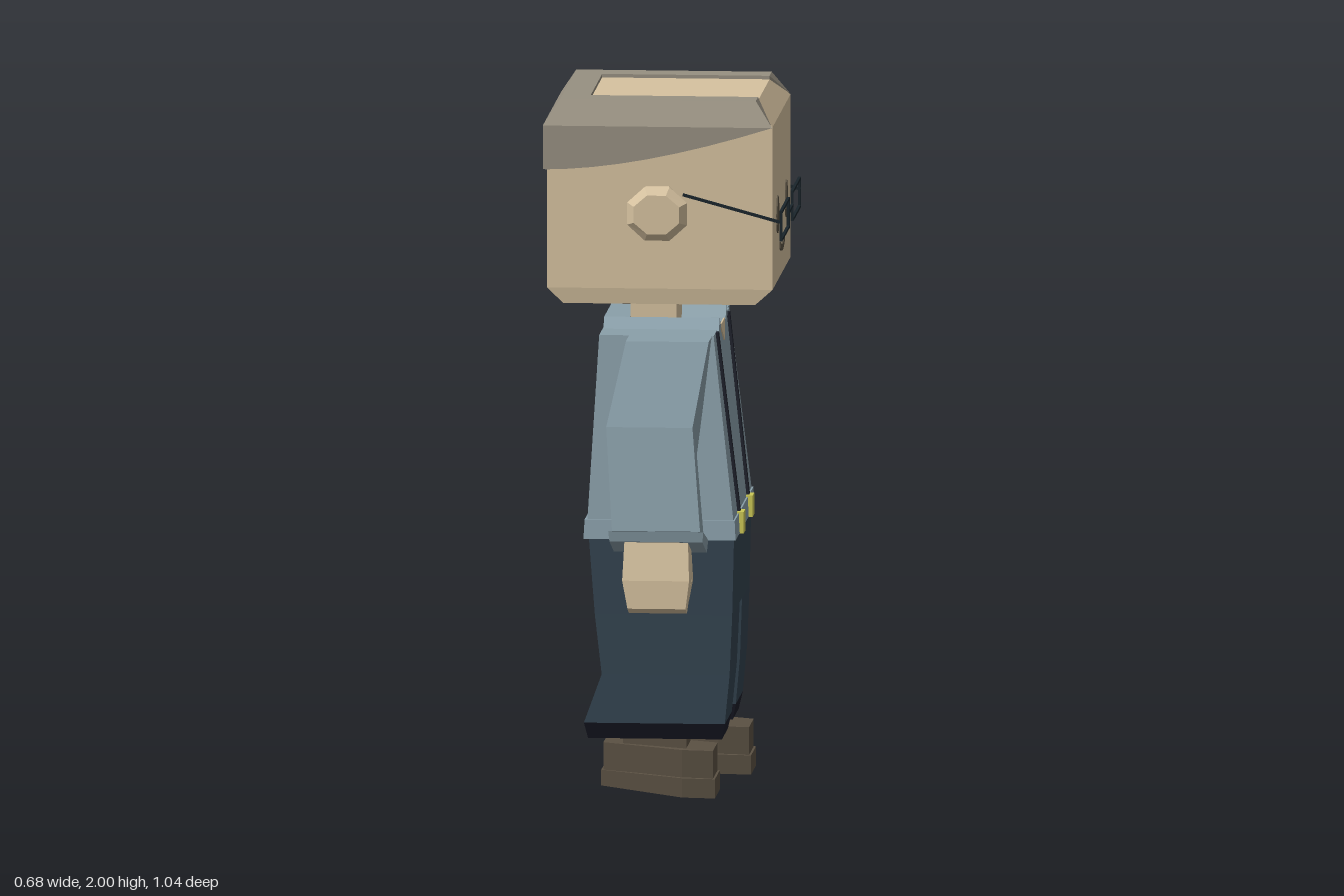
import * as THREE from 'three';
import { ConvexGeometry } from 'three/addons/geometries/ConvexGeometry.js';

const mat = (name, color) => new THREE.MeshStandardMaterial({ name, color, flatShading: true });
const skin = mat('skin', 0xd6c2a0);
const hair = mat('hair', 0x979081);
const shirt = mat('shirt', 0x8a9fa9);
const denim = mat('denim', 0x33434f);
const hemDark = mat('hemDark', 0x1a1c28);
const leather = mat('leather', 0x5c5244);
const strapDark = mat('strapDark', 0x1e212b);
const brass = mat('brass', 0xccc856);
const features = mat('features', 0x5a5244);
const wire = mat('wire', 0x1a252b);

const V = (x, y, z) => new THREE.Vector3(x, y, z);

// Four corners at heights y0 (on z0) and y1 (on z1)
const ring = (x0, x1, z0, y0, z1, y1 = y0) =>
  [V(x0, y0, z0), V(x1, y0, z0), V(x1, y1, z1), V(x0, y1, z1)];

// Flat-shaded skin over a stack of rings, capped at both ends
function loft(rings) {
  const tris = [];
  const n = rings[0].length;
  for (let r = 0; r + 1 < rings.length; r++) {
    for (let i = 0; i < n; i++) {
      const j = (i + 1) % n, a = rings[r], b = rings[r + 1];
      tris.push([a[i], b[i], b[j]], [a[i], b[j], a[j]]);
    }
  }
  const first = rings[0], last = rings[rings.length - 1];
  for (let i = 1; i + 1 < n; i++) {
    tris.push([first[0], first[i], first[i + 1]], [last[0], last[i + 1], last[i]]);
  }
  // Turn the faces outward whichever way the rings run
  const volume = tris.reduce((v, [a, b, c]) => v + a.dot(b.clone().cross(c)), 0);
  if (volume < 0) tris.forEach((t) => t.reverse());
  const geo = new THREE.BufferGeometry().setFromPoints(tris.flat());
  geo.computeVertexNormals();
  return geo;
}

const hull = (points) => new ConvexGeometry(points);
const mirror = (points, s) => points.map((p) => V(p.x, p.y, p.z * s));
const box = (x0, x1, y0, y1, z0, z1) =>
  new THREE.BoxGeometry(x1 - x0, y1 - y0, z1 - z0)
    .translate((x0 + x1) / 2, (y0 + y1) / 2, (z0 + z1) / 2);

function add(parent, name, geo, material) {
  const mesh = new THREE.Mesh(geo, material);
  mesh.name = name;
  parent.add(mesh);
  return mesh;
}

function bar(parent, name, a, b, t, material) {
  const d = b.clone().sub(a);
  const mesh = add(parent, name, new THREE.BoxGeometry(t, d.length() + t, t), material);
  mesh.position.copy(a).add(b).multiplyScalar(0.5);
  mesh.quaternion.setFromUnitVectors(V(0, 1, 0), d.normalize());
}

// Thin painted shape standing on the face, which looks along +x
const facePlate = (shape, x) =>
  new THREE.ExtrudeGeometry(shape, { depth: 0.008, bevelEnabled: false, curveSegments: 6 })
    .rotateY(Math.PI / 2).translate(x, 0, 0);

function buildHead(g) {
  add(g, 'head', loft([
    ring(-0.285, 0.26, -0.31, 1.42, 0.31),
    ring(-0.33, 0.31, -0.317, 1.465, 0.317),
    ring(-0.33, 0.31, -0.317, 1.93, 0.317),
    ring(-0.28, 0.26, -0.275, 1.99, 0.275),
  ]), skin);
  add(g, 'neck', box(-0.11, 0.02, 1.28, 1.43, -0.1, 0.1), skin);

  // Hair: a horseshoe around the back and sides
  const side = new THREE.Shape();
  side.moveTo(-0.34, 1.805);
  side.quadraticCurveTo(-0.08, 1.805, 0.31, 1.93);
  side.lineTo(-0.34, 1.93);
  const sideOptions = { depth: 0.02, bevelEnabled: false, curveSegments: 8 };
  add(g, 'backHair', box(-0.341, -0.32, 1.805, 1.93, -0.332, 0.332), hair);
  add(g, 'backHairTop', hull([-1, 1].flatMap((s) => [
    V(-0.341, 1.93, 0.332 * s), V(-0.295, 2, 0.285 * s),
    V(-0.215, 2, 0.285 * s), V(-0.215, 1.93, 0.285 * s),
  ])), hair);

  for (const s of [1, -1]) {
    add(g, 'sideHair', new THREE.ExtrudeGeometry(side, sideOptions)
      .translate(0, 0, s > 0 ? 0.312 : -0.332), hair);
    add(g, 'sideHairTop', hull(mirror([
      V(-0.341, 1.93, 0.332), V(0.31, 1.93, 0.332), V(-0.295, 2, 0.285), V(0.26, 2, 0.285),
      V(-0.295, 2, 0.205), V(0.26, 2, 0.205), V(-0.295, 1.93, 0.205), V(0.26, 1.93, 0.205),
    ], s)), hair);

    // Ears: eight-sided, flaring outward
    const earRing = (z, rx, ry) => Array.from({ length: 8 }, (_, i) => {
      const a = (i + 0.5) * Math.PI / 4;
      return V(-0.015 + rx * Math.cos(a), 1.684 + ry * Math.sin(a), z * s);
    });
    add(g, 'ear', loft([
      earRing(0.3, 0.075, 0.08), earRing(0.352, 0.092, 0.083), earRing(0.376, 0.07, 0.06),
    ]), skin);

    // Eye
    const eye = new THREE.Shape();
    eye.absellipse(0, 0, 0.031, 0.054, 0, Math.PI * 2);
    add(g, 'eye', facePlate(eye, 0.306).translate(0, 1.658, 0.153 * s), features);

    // Glasses: wire rim and temple arm
    const corners = [[1.61, 0.07], [1.69, 0.07], [1.69, 0.328], [1.61, 0.328]]
      .map(([y, z]) => V(0.335, y, z * s));
    corners.forEach((c, i) => bar(g, 'glassesRim', c, corners[(i + 1) % 4], 0.008, wire));
    bar(g, 'glassesArm', V(0.06, 1.735, 0.328 * s), V(0.335, 1.66, 0.328 * s), 0.008, wire);
  }
  bar(g, 'glassesBridge', V(0.335, 1.652, -0.07), V(0.335, 1.652, 0.07), 0.008, wire);

  const smile = new THREE.Shape();
  smile.moveTo(-0.075, 1.567);
  smile.quadraticCurveTo(0, 1.535, 0.075, 1.567);
  smile.lineTo(0.07, 1.547);
  smile.quadraticCurveTo(0, 1.518, -0.07, 1.547);
  add(g, 'mouth', facePlate(smile, 0.306), features);
}

function buildTorso(g) {
  add(g, 'shirtBody', loft([
    ring(-0.215, 0.2, -0.325, 0.8, 0.325), ring(-0.185, 0.14, -0.28, 1.325, 0.28),
  ]), shirt);
  add(g, 'shirtHem', loft([
    ring(-0.225, 0.207, -0.34, 0.75, 0.34), ring(-0.222, 0.204, -0.335, 0.805, 0.335),
  ]), shirt);

  // Strip on the sloping chest
  const chest = (y, z, lift) => V(0.14 + (1.325 - y) * 0.1143 + lift, y, z);
  add(g, 'chestSkin', hull([0, 0.004].flatMap((l) => [
    chest(1.273, 0, l), chest(1.327, 0.075, l), chest(1.327, -0.075, l),
  ])), skin);
  add(g, 'backCollar', box(-0.183, -0.11, 1.32, 1.355, -0.125, 0.125), shirt);

  for (const s of [1, -1]) {
    add(g, 'collar', hull(mirror([-0.183, 0.145].flatMap((x) => [
      V(x, 1.322, 0.16), V(x, 1.355, 0.125), V(x, 1.322, 0.075),
    ]), s)), shirt);
    add(g, 'suspender', hull(mirror([0, 0.008].flatMap((l) => [
      chest(1.325, 0.185, l), chest(1.325, 0.212, l), chest(0.8, 0.147, l), chest(0.8, 0.174, l),
    ]), s)), strapDark);
    add(g, 'suspenderClip', box(0.19, 0.218, 0.748, 0.81, 0.16 * s - 0.029, 0.16 * s + 0.029), brass);
  }
}

function buildArm(g, s) {
  const sleeve = [
    ring(-0.1, 0.135, 0.26, 1.325, 0.385, 1.325),
    ring(-0.15, 0.095, 0.305, 0.99, 0.46, 1.09),
    ring(-0.13, 0.12, 0.345, 0.735, 0.505, 0.8),
  ];
  const cuff = [
    ring(-0.14, 0.13, 0.338, 0.752, 0.513, 0.8), ring(-0.137, 0.127, 0.35, 0.718, 0.507, 0.77),
  ];
  const palm = [
    ring(-0.095, 0.085, 0.375, 0.735, 0.497, 0.775),
    ring(-0.1, 0.09, 0.4, 0.66, 0.52, 0.66),
    ring(-0.085, 0.08, 0.468, 0.56, 0.52, 0.58),
  ];
  const thumb = [
    ring(-0.01, 0.085, 0.372, 0.73, 0.44, 0.73),
    ring(0, 0.09, 0.372, 0.645, 0.428, 0.65),
    ring(0.015, 0.08, 0.398, 0.585, 0.425, 0.6),
  ];
  const parts = { sleeve: [sleeve, shirt], cuff: [cuff, shirt], palm: [palm, skin], thumb: [thumb, skin] };
  for (const [name, [rings, material]] of Object.entries(parts)) {
    add(g, name, loft(rings.map((r) => mirror(r, s))), material);
  }
}

function buildLeg(g, s) {
  const hem = ring(-0.225, 0.175, 0.072, 0.222, 0.323);
  add(g, 'trouserLeg', loft([
    ring(-0.213, 0.2, 0, 0.76, 0.306),
    ring(-0.195, 0.195, 0, 0.53, 0.31),
    ring(-0.195, 0.195, 0.04, 0.53, 0.31),
    ring(-0.175, 0.188, 0.057, 0.36, 0.316),
    hem,
  ].map((r) => mirror(r, s))), denim);
  add(g, 'trouserHem', loft([hem, ring(-0.215, 0.165, 0.088, 0.175, 0.3)]
    .map((r) => mirror(r, s))), hemDark);

  // Shoe: the two feet stand one slightly ahead of the other
  const shoe = new THREE.Group();
  shoe.name = s > 0 ? 'rightShoe' : 'leftShoe';
  shoe.position.set(s > 0 ? 0 : 0.075, s > 0 ? 0 : 0.018, 0);
  g.add(shoe);
  const slab = (heelLow, heelHigh, toeLow, toeHigh, inset) => hull(mirror([
    ...[heelLow, heelHigh].flatMap((y) => [V(-0.18 + inset, y, 0.075 + inset), V(-0.18 + inset, y, 0.27 - inset)]),
    ...[toeLow, toeHigh].flatMap((y) => [
      V(0.05, y + 0.004, 0.07 + inset), V(0.05, y + 0.004, 0.277 - inset),
      V(0.142 - inset, y, 0.085 + inset), V(0.142 - inset, y, 0.262 - inset),
    ]),
  ], s));
  add(shoe, 'sole', slab(0.035, 0.08, 0, 0.055, 0), leather);
  add(shoe, 'upper', slab(0.07, 0.158, 0.05, 0.135, 0.006), leather);
  add(shoe, 'ankle', box(-0.12, 0.06, 0.12, 0.18, s * 0.172 - 0.08, s * 0.172 + 0.08), leather);
}

export function createModel() {
  const model = new THREE.Group();
  model.name = 'figure';
  const body = new THREE.Group();
  body.name = 'body';
  body.position.z = -0.01;
  model.add(body);
  buildHead(body);
  buildTorso(body);
  for (const s of [1, -1]) {
    const arm = new THREE.Group();
    arm.name = s > 0 ? 'rightArm' : 'leftArm';
    model.add(arm);
    buildArm(arm, s);
    const leg = new THREE.Group();
    leg.name = s > 0 ? 'rightLeg' : 'leftLeg';
    body.add(leg);
    buildLeg(leg, s);
  }
  return model;
}
